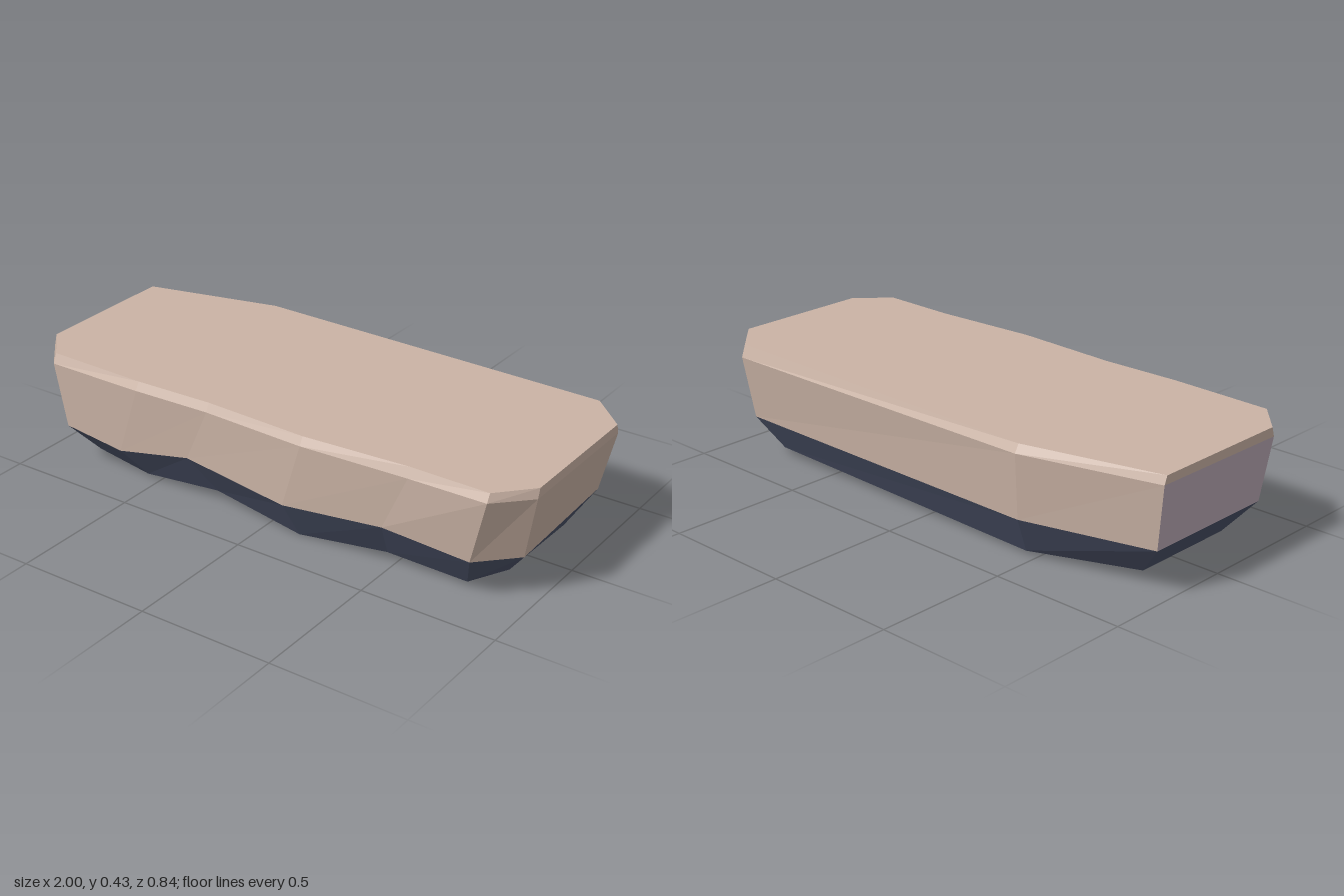
import * as THREE from 'three';

// Each outline runs counter-clockwise seen from above: front, left end, back, right end.
const BOTTOM = [
  [-0.79, 0.035, 0.29], [-0.55, 0.015, 0.31], [-0.24, 0.04, 0.3], [0.13, 0.0, 0.325],
  [0.47, 0.035, 0.3], [0.77, 0.02, 0.285], [0.86, 0.04, 0.17], [0.86, 0.03, -0.2],
  [0.77, 0.03, -0.3], [-0.46, 0.015, -0.32], [-0.87, 0.045, -0.22], [-0.87, 0.045, 0.19],
];
const MIDDLE = [
  [-0.85, 0.155, 0.39], [-0.6, 0.13, 0.395], [-0.3, 0.19, 0.39], [0.12, 0.15, 0.41],
  [0.5, 0.18, 0.385], [0.82, 0.15, 0.365], [0.95, 0.155, 0.245], [0.95, 0.175, -0.255],
  [0.85, 0.15, -0.365], [-0.49, 0.16, -0.395], [-0.97, 0.165, -0.28], [-0.97, 0.165, 0.25],
];
const UPPER = [
  [-0.89, 0.395, 0.4], [-0.5, 0.4, 0.41], [-0.2, 0.4, 0.4], [0.2, 0.4, 0.418],
  [0.6, 0.395, 0.392], [0.89, 0.4, 0.395], [1, 0.395, 0.272], [1, 0.395, -0.27],
  [0.87, 0.385, -0.4], [-0.5, 0.4, -0.42], [-1, 0.4, -0.295], [-1, 0.395, 0.272],
];
// The top rim is the upper outline drawn in slightly in depth.
const TOP = UPPER.map(([x, , z]) => [x, 0.43, z * 0.96]);

function meshFrom(name, points, material) {
  const geometry = new THREE.BufferGeometry();
  geometry.setAttribute('position', new THREE.Float32BufferAttribute(points.flat(), 3));
  geometry.computeVertexNormals();
  const mesh = new THREE.Mesh(geometry, material);
  mesh.name = name;
  return mesh;
}

// Faceted wall between two outlines, for the chosen sides only
function band(lower, upper, keep = () => true) {
  const points = [];
  lower.forEach((a, i) => {
    if (!keep(i)) return;
    const j = (i + 1) % lower.length;
    points.push(a, lower[j], upper[j], a, upper[j], upper[i]);
  });
  return points;
}

// Fan closing an outline, facing up or down
function cap(ring, centre, up) {
  return ring.flatMap((a, i) => {
    const b = ring[(i + 1) % ring.length];
    return up ? [centre, a, b] : [centre, b, a];
  });
}

export function createModel() {
  const make = (name, color) => {
    const material = new THREE.MeshStandardMaterial({ color, flatShading: true });
    material.name = name;
    return material;
  };
  const sand = make('sand', 0xcab3a5);
  const mauve = make('mauve', 0xbcabb6);
  const slate = make('slate', 0x4b5268);

  const isMauve = (i) => i === 7 || i === 10;
  const group = new THREE.Group();
  group.name = 'rockPlatform';
  group.add(
    meshFrom('topSurface', cap(TOP, [0, 0.43, 0], true), sand),
    meshFrom('topBevel', band(UPPER, TOP), sand),
    meshFrom('sideWalls', band(MIDDLE, UPPER, (i) => !isMauve(i)), sand),
    meshFrom('mauveWalls', band(MIDDLE, UPPER, isMauve), mauve),
    meshFrom('baseSlope', band(BOTTOM, MIDDLE), slate),
    meshFrom('underside', cap(BOTTOM, [0, 0.02, 0], false), slate),
  );
  return group;
}
